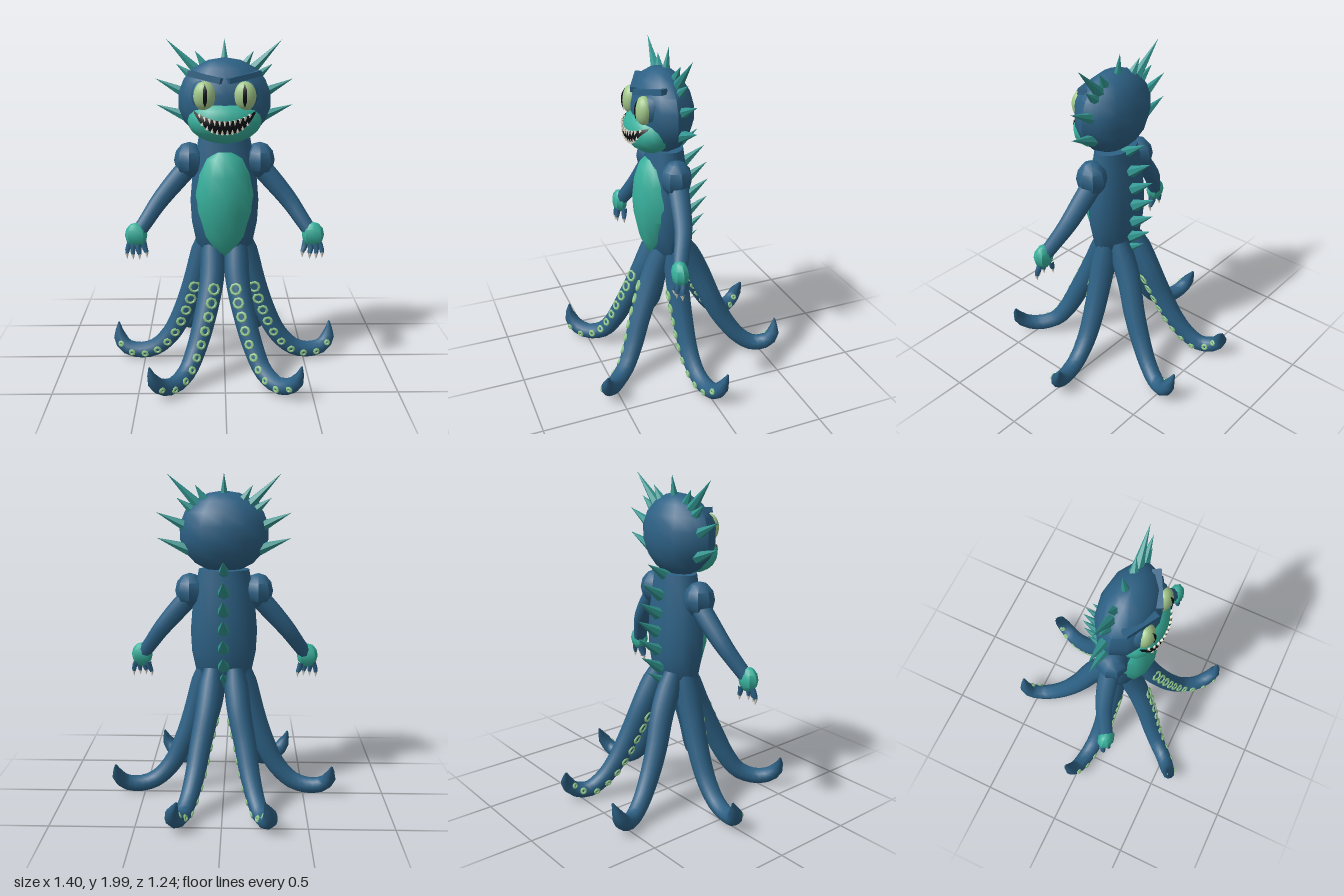
import * as THREE from 'three';
import { toCreasedNormals } from 'three/addons/utils/BufferGeometryUtils.js';

const mat = (name, color, extra = {}) => Object.assign(new THREE.MeshStandardMaterial({ color, ...extra }), { name });
const V = (x, y, z) => new THREE.Vector3(x, y, z);

export function createModel() {
  const skin = mat('deep blue skin', 0x2d6185);
  const teal = mat('teal skin', 0x38b09c);
  const spikeTeal = mat('dark teal spikes', 0x329590);
  const sucker = mat('pale green suckers', 0x98d092);
  const eyeGreen = mat('eye green', 0xa3c98c);
  const black = mat('black', 0x0c1014, { side: THREE.DoubleSide });
  const ivory = mat('ivory', 0xe8e2d0);

  const root = new THREE.Group();
  root.name = 'tentacledCreature';
  const add = (name, geo, material, parent = root) => {
    const m = new THREE.Mesh(geo, material);
    m.name = name;
    parent.add(m);
    return m;
  };
  const group = (name) => {
    const g = new THREE.Group();
    g.name = name;
    root.add(g);
    return g;
  };

  // Ellipsoid given by centre c and radii r
  const ball = (name, e, material, w, h, parent) => {
    const geo = new THREE.SphereGeometry(1, w, h).scale(...e.r).translate(...e.c);
    return add(name, toCreasedNormals(geo, 0.7), material, parent);
  };
  // Point on the front of an ellipsoid, lifted a little
  const onFront = (e, x, y, lift) => {
    const u = (x - e.c[0]) / e.r[0], v = (y - e.c[1]) / e.r[1];
    return V(x, y, e.c[2] + e.r[2] * Math.sqrt(Math.max(0, 1 - u * u - v * v)) + lift);
  };
  // Thin painted face between two curves, wrapped on an ellipsoid
  const patch = (name, e, x0, x1, low, high, material, parent) => {
    const geo = new THREE.PlaneGeometry(1, 1, 16, 8), p = geo.attributes.position;
    for (let i = 0; i < p.count; i++) {
      const x = x0 + (x1 - x0) * (p.getX(i) + 0.5);
      const y = low(x) + (high(x) - low(x)) * (p.getY(i) + 0.5);
      p.setXYZ(i, ...onFront(e, x, y, 0.005).toArray());
    }
    geo.computeVertexNormals();
    return add(name, geo, material, parent);
  };
  // Cone running from a base point to a tip point
  const spike = (name, base, tip, r, sides, material, parent) => {
    const d = tip.clone().sub(base), len = d.length();
    const geo = toCreasedNormals(new THREE.ConeGeometry(r, len, sides).translate(0, len / 2, 0), 0.5);
    const m = add(name, geo, material, parent);
    m.position.copy(base);
    m.quaternion.setFromUnitVectors(V(0, 1, 0), d.normalize());
    return m;
  };
  // Tapered limb: radii are spread evenly along the curve
  const radiusAt = (radii, t) => {
    const f = t * (radii.length - 1), i = Math.min(Math.floor(f), radii.length - 2);
    return THREE.MathUtils.lerp(radii[i], radii[i + 1], f - i);
  };
  const limb = (name, curve, radii, segs, sides, parent) => {
    const geo = new THREE.TubeGeometry(curve, segs, 1, sides), p = geo.attributes.position;
    const v = V(0, 0, 0);
    for (let i = 0; i <= segs; i++) {
      const c = curve.getPointAt(i / segs), r = radiusAt(radii, i / segs);
      for (let j = 0; j <= sides; j++) {
        const k = i * (sides + 1) + j;
        v.fromBufferAttribute(p, k).sub(c).multiplyScalar(r).add(c);
        p.setXYZ(k, v.x, v.y, v.z);
      }
    }
    return add(name, geo, skin, parent);
  };

  // Torso and belly
  const lathe = (pts, n, sz, z) =>
    toCreasedNormals(new THREE.LatheGeometry(pts.map((p) => new THREE.Vector2(...p)), n).scale(1, 1, sz).translate(0, 0, z), 0.7);
  add('torso', lathe([[0, 0.72], [0.12, 0.73], [0.17, 0.785], [0.2, 0.93], [0.207, 1.06], [0.195, 1.2],
    [0.174, 1.33], [0.155, 1.43], [0, 1.43]], 14, 0.65, 0.06), skin);
  add('belly', lathe([[0, 0.72], [0.055, 0.75], [0.12, 0.85], [0.162, 1.0], [0.17, 1.1], [0.152, 1.22],
    [0.11, 1.32], [0.062, 1.36], [0, 1.365]], 12, 0.72, 0.13), teal);

  // Head, muzzle and grin
  const head = group('head');
  ball('skull', { c: [0, 1.65, 0.08], r: [0.27, 0.245, 0.173] }, skin, 12, 9, head);
  const muzzle = { c: [0, 1.543, 0.16], r: [0.212, 0.13, 0.135] };
  ball('muzzle', muzzle, teal, 18, 12, head);
  const lip = (x) => 1.558 + 0.047 * (x / 0.172) ** 2;
  const jaw = (x) => 1.484 + 0.108 * Math.abs(x / 0.172) ** 2.5;
  patch('mouth', muzzle, -0.172, 0.172, jaw, lip, black, head);
  for (let i = -5; i <= 5; i++) {
    const x = i * 0.028, gap = lip(x) - jaw(x);
    spike('upperTooth', onFront(muzzle, x, lip(x), 0.002), onFront(muzzle, x, lip(x) - gap * 0.42, 0.008), 0.012, 4, ivory, head);
    if (i === 5) continue;
    const xl = x + 0.014, gl = lip(xl) - jaw(xl);
    spike('lowerTooth', onFront(muzzle, xl, jaw(xl), 0.002), onFront(muzzle, xl, jaw(xl) + gl * 0.36, 0.008), 0.011, 4, ivory, head);
  }

  // Eye sockets, eyes, slit pupils and frowning brows
  for (const s of [-1, 1]) {
    ball('socket', { c: [s * 0.12, 1.69, 0.165], r: [0.076, 0.095, 0.084] }, skin, 12, 8, head);
    const eye = { c: [s * 0.113, 1.69, 0.222], r: [0.064, 0.083, 0.05] };
    ball('eye', eye, eyeGreen, 16, 12, head);
    const half = (x) => 0.066 * (1 - 0.5 * Math.abs(x - s * 0.111) / 0.011);
    patch('pupil', eye, s * 0.111 - 0.011, s * 0.111 + 0.011, (x) => 1.695 - half(x), (x) => 1.695 + half(x), black, head);
    const brow = add('brow', new THREE.BoxGeometry(0.21, 0.032, 0.05), skin, head);
    const inner = V(s * 0.015, 1.773, 0.232), outer = V(s * 0.2, 1.81, 0.135);
    brow.position.copy(inner).add(outer).multiplyScalar(0.5);
    brow.quaternion.setFromUnitVectors(V(s, 0, 0), outer.sub(inner).normalize());
  }

  // Crown of spikes and spine spikes
  spike('crownSpike', V(0, 1.86, 0.05), V(0, 2, 0.03), 0.028, 6, spikeTeal, head);
  const crown = [[0.1, 1.82, 0.17, 1.93], [0.13, 1.79, 0.335, 1.995], [0.17, 1.77, 0.28, 1.855],
    [0.21, 1.68, 0.4, 1.77], [0.21, 1.55, 0.4, 1.62]];
  for (const s of [-1, 1])
    for (const [bx, by, tx, ty] of crown)
      spike('crownSpike', V(s * bx, by, 0.045), V(s * tx, ty, 0.03), 0.038, 6, spikeTeal, head);
  const spine = group('spine');
  [[1.41, -0.15], [1.3, -0.195], [1.19, -0.215], [1.08, -0.225], [0.965, -0.22], [0.85, -0.2], [0.745, -0.155]]
    .forEach(([y, z]) => spike('spineSpike', V(0, y, z + 0.14), V(0, y + 0.09, z), 0.038, 6, spikeTeal, spine));

  // Arms with clawed hands
  for (const s of [-1, 1]) {
    const arm = group(s > 0 ? 'leftArm' : 'rightArm');
    ball('shoulder', { c: [s * 0.207, 1.297, 0.068], r: [0.09, 0.108, 0.094] }, skin, 8, 6, arm);
    const path = new THREE.CatmullRomCurve3([V(s * 0.2, 1.27, 0.06), V(s * 0.29, 1.17, 0.075), V(s * 0.39, 1.05, 0.1), V(s * 0.46, 0.95, 0.14), V(s * 0.51, 0.88, 0.17)]);
    limb('arm', path, [0.062, 0.06, 0.054, 0.047, 0.042], 10, 8, arm);
    ball('hand', { c: [s * 0.522, 0.868, 0.175], r: [0.066, 0.076, 0.05] }, teal, 8, 6, arm);
    [[0.482, 0.462, 0.155], [0.507, 0.502, 0.19], [0.535, 0.54, 0.19], [0.558, 0.578, 0.17]].forEach(([x0, x1, z]) => {
      const a = V(s * x0, 0.825, z), b = V(s * x1, 0.757, z + 0.012);
      const knuckles = new THREE.CatmullRomCurve3([a, a.clone().lerp(b, 0.5).add(V(s * 0.004, 0, 0)), b]);
      limb('finger', knuckles, [0.018, 0.018, 0.012], 3, 6, arm);
      spike('claw', b.clone().add(V(0, 0.004, 0)), V(s * x1, 0.722, z + 0.01), 0.0135, 6, ivory, arm);
    });
  }

  // Six tentacles with rows of sucker rings
  const radii = [0.055, 0.074, 0.074, 0.071, 0.068, 0.065, 0.062, 0.058, 0.054, 0.051, 0.049, 0.043, 0.004];
  const tentacles = [
    { name: 'frontTentacle', face: [-0.25, 0, 1], pts: [[0.072, 0.82, 0.08], [0.076, 0.6, 0.175], [0.125, 0.36, 0.278], [0.175, 0.2, 0.345],
      [0.225, 0.1, 0.41], [0.3, 0.06, 0.5], [0.37, 0.085, 0.56], [0.41, 0.14, 0.585], [0.43, 0.215, 0.58]] },
    { name: 'sideTentacle', face: [-0.1, -0.1, 1], pts: [[0.11, 0.82, 0.045], [0.18, 0.55, 0.045], [0.25, 0.35, 0.04], [0.33, 0.19, 0.035],
      [0.43, 0.09, 0.025], [0.53, 0.06, 0.01], [0.622, 0.078, -0.01], [0.662, 0.13, -0.035], [0.672, 0.22, -0.07]] },
    { name: 'backTentacle', face: [-1, 0.1, 0.5], pts: [[0.068, 0.82, -0.015], [0.095, 0.6, -0.12], [0.135, 0.4, -0.2], [0.165, 0.24, -0.28],
      [0.2, 0.12, -0.37], [0.235, 0.062, -0.46], [0.27, 0.082, -0.545], [0.277, 0.13, -0.58], [0.245, 0.22, -0.605]] },
  ];
  for (const s of [-1, 1])
    for (const { name, face, pts } of tentacles) {
      const g = group((s > 0 ? 'left ' : 'right ') + name);
      const curve = new THREE.CatmullRomCurve3(pts.map(([x, y, z]) => V(s * x, y, z)));
      limb(name, curve, radii, 26, 10, g);
      for (let i = 0; i < 10; i++) {
        const t = 0.26 + i * 0.069, r = radiusAt(radii, t);
        const tan = curve.getTangentAt(t), n = V(s * face[0], face[1], face[2]);
        n.addScaledVector(tan, -n.dot(tan)).normalize();
        const size = r * (0.43 - 0.019 * i);
        const ring = add('sucker', new THREE.TorusGeometry(size, 0.009, 5, 8), sucker, g);
        ring.position.copy(curve.getPointAt(t)).addScaledVector(n, r * 0.94);
        ring.quaternion.setFromUnitVectors(V(0, 0, 1), n);
      }
    }
  return root;
}
